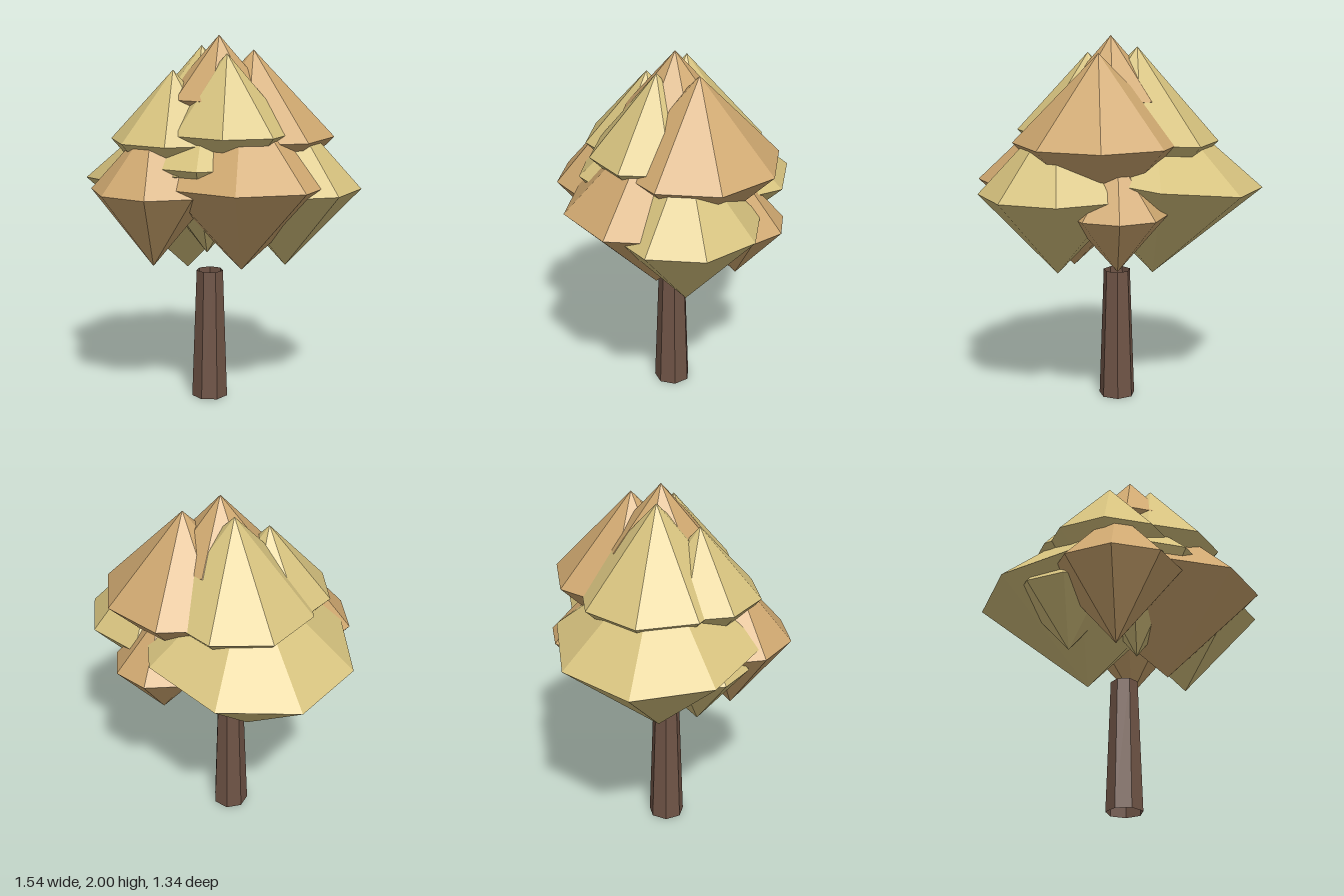
import * as THREE from 'three';

const material = (color, side = THREE.FrontSide) =>
  new THREE.MeshStandardMaterial({ color, flatShading: true, side });

// Eight-sided double pyramid: a rim between a top point and a bottom point
function clumpGeometry({ x, z, top, rim, bottom, r, rx = r, rz = r, tilt = 0 }) {
  const corner = (i) => {
    const a = (i * Math.PI) / 4;
    const dx = Math.sin(a) * rx;
    return [x + dx, rim + dx * tilt, z + Math.cos(a) * rz];
  };
  const positions = [];
  for (let i = 0; i < 8; i++) {
    const a = corner(i), b = corner(i + 1);
    positions.push(...a, ...b, x, top, z);
    positions.push(...b, ...a, x, bottom, z);
  }
  const geometry = new THREE.BufferGeometry();
  geometry.setAttribute('position', new THREE.Float32BufferAttribute(positions, 3));
  geometry.computeVertexNormals();
  return geometry;
}

export function createModel() {
  const model = new THREE.Group();
  model.name = 'tree';

  // Tapered seven-sided trunk, open at both ends
  const trunk = new THREE.Mesh(
    new THREE.CylinderGeometry(0.074, 0.1, 0.72, 7, 1, true, Math.PI),
    material(0x6f5446, THREE.DoubleSide)
  );
  trunk.name = 'trunk';
  trunk.position.set(0.027, 0.36, -0.015);
  model.add(trunk);

  // Leaf clumps in two colours
  const brown = material(0xcfa870);
  const yellow = material(0xd6c27e);
  const clumps = [
    // upper ring around the peak
    { name: 'peakClump', mat: brown, x: 0.06, z: -0.05, top: 2.0, rim: 1.67, bottom: 1.34, r: 0.29 },
    { name: 'upperLeftClump', mat: yellow, x: 0.18, z: -0.01, top: 1.91, rim: 1.5, bottom: 1.12, r: 0.38, rz: 0.34 },
    { name: 'upperRightClump', mat: yellow, x: -0.08, z: -0.04, top: 1.94, rim: 1.47, bottom: 1.02, r: 0.44, rz: 0.42, tilt: 0.08 },
    { name: 'upperBackClump', mat: brown, x: 0.13, z: -0.23, top: 1.92, rim: 1.46, bottom: 1.02, r: 0.45, rz: 0.43 },
    { name: 'upperFrontClump', mat: yellow, x: -0.04, z: 0.18, top: 1.82, rim: 1.45, bottom: 1.08, r: 0.35, rz: 0.33 },
    // lower ring
    { name: 'lowerRightClump', mat: yellow, x: -0.17, z: -0.01, top: 1.7, rim: 1.25, bottom: 0.7, r: 0.6, rz: 0.56, tilt: 0.13 },
    { name: 'lowerLeftClump', mat: brown, x: 0.26, z: -0.05, top: 1.72, rim: 1.24, bottom: 0.76, r: 0.51, rz: 0.47 },
    { name: 'lowerFrontClump', mat: brown, x: 0.01, z: 0.35, top: 1.57, rim: 1.2, bottom: 0.79, r: 0.35, rz: 0.32 },
    { name: 'lowerBackLeftClump', mat: yellow, x: 0.35, z: -0.28, top: 1.64, rim: 1.2, bottom: 0.77, r: 0.41, rz: 0.39 },
    { name: 'lowerBackClump', mat: brown, x: 0.04, z: -0.41, top: 1.41, rim: 1.11, bottom: 0.81, r: 0.26 },
    { name: 'smallFrontRightClump', mat: yellow, x: -0.25, z: 0.22, top: 1.46, rim: 1.14, bottom: 0.82, r: 0.29, rz: 0.27 },
    // filler in the middle
    { name: 'middleClump', mat: yellow, x: 0.1, z: 0.06, top: 1.7, rim: 1.34, bottom: 0.84, r: 0.4 },
  ];
  for (const clump of clumps) {
    const mesh = new THREE.Mesh(clumpGeometry(clump), clump.mat);
    mesh.name = clump.name;
    model.add(mesh);
  }
  return model;
}
